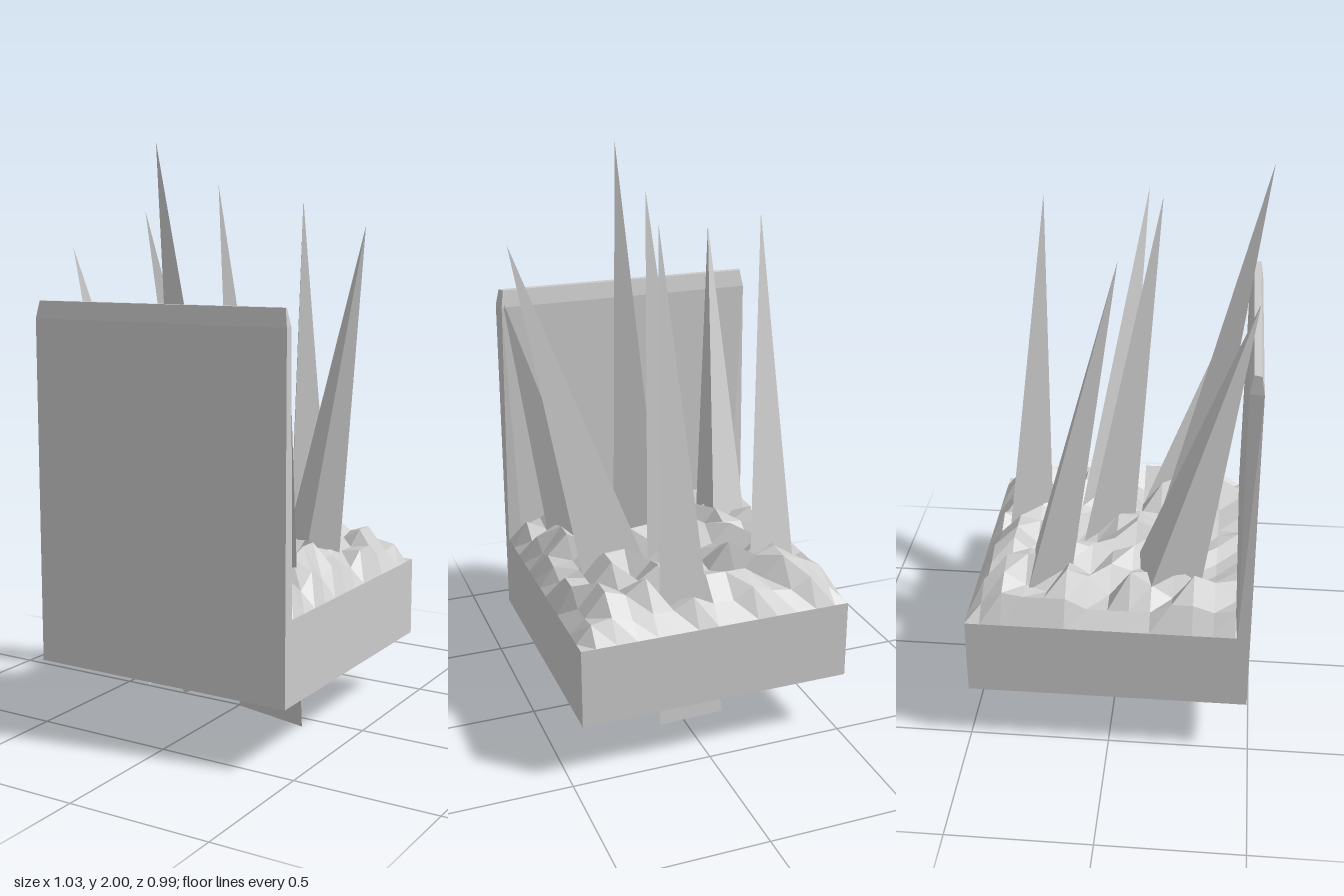
import * as THREE from 'three';
import { ConvexGeometry } from 'three/addons/geometries/ConvexGeometry.js';

const material = new THREE.MeshStandardMaterial({ color: 0xcccccc, flatShading: true });
const X0 = -0.52, X1 = 0.46, Z0 = -0.495, Z1 = 0.487, TOP = 0.505, BOTTOM = 0.22;

function add(group, name, geometry) {
  const mesh = new THREE.Mesh(geometry, material);
  mesh.name = name;
  group.add(mesh);
  return mesh;
}

function hull(points) {
  return new ConvexGeometry(points.map((p) => new THREE.Vector3(...p)));
}

// Small seeded generator for the rubble heights
function seeded(seed) {
  return () => {
    seed = (seed * 16807) % 2147483647;
    return seed / 2147483647;
  };
}

// Rough ground: a 12 x 12 grid of stepped heights with a sloping rim down to the slab
function groundGeometry() {
  const n = 14, rim = 0.052, random = seeded(41);
  const geometry = new THREE.PlaneGeometry(n, n, n, n).rotateX(-Math.PI / 2).rotateY(Math.PI / 2);
  const place = (i, lo, hi) =>
    i === 0 ? lo : i === n ? hi : lo + rim + ((i - 1) / (n - 2)) * (hi - lo - 2 * rim);
  const pos = geometry.attributes.position;
  for (let k = 0; k < pos.count; k++) {
    const i = Math.round(pos.getX(k) + n / 2), j = Math.round(pos.getZ(k) + n / 2);
    const inset = Math.min(i, j, n - i, n - j);
    const step = Math.floor(random() * 5) / 4;
    const y = inset === 0 ? TOP : inset === 1 ? TOP + 0.05 + 0.05 * step
      : TOP + 0.05 + 0.1 * step + 0.006 * inset;
    pos.setXYZ(k, place(i, X0, X1), y, place(j, Z0, Z1));
  }
  geometry.computeVertexNormals();
  return geometry;
}

// Each spike: its tip, then the three corners of its buried end
const spikes = [
  [[-0.385, 1.8, 0.025], [-0.41, 0.25, -0.37], [-0.18, 0.21, -0.4], [-0.3, 0.2, -0.2]],
  [[0, 1.88, 0.14], [-0.13, 0.22, -0.2], [0.11, 0.2, -0.17], [0, 0.15, 0.02]],
  [[0.515, 1.74, 0.06], [-0.03, 0.22, -0.23], [0.28, 0.22, -0.19], [0.185, 0.2, -0.02]],
  [[-0.01, 2, 0.495], [-0.09, 0.1, 0.24], [0.13, 0.2, 0.165], [-0.06, 0.2, 0.02]],
  [[0.105, 1.84, -0.27], [-0.06, 0.15, -0.46], [0.17, 0.14, -0.455], [0.05, 0.09, -0.26]],
  [[-0.37, 1.67, 0.465], [-0.41, 0.22, 0.02], [-0.2, 0.22, -0.07], [-0.23, 0.11, 0.25]],
  [[0.445, 1.46, 0.45], [0.3, 0, 0.075], [0.1, 0.07, 0.17], [0.09, 0.2, -0.09]],
];

export function createModel() {
  const model = new THREE.Group();
  model.name = 'spikeTrap';

  // Slab
  const slab = add(model, 'slab', new THREE.BoxGeometry(X1 - X0, TOP - BOTTOM, Z1 - Z0));
  slab.position.set((X0 + X1) / 2, (TOP + BOTTOM) / 2, (Z0 + Z1) / 2);

  add(model, 'roughGround', groundGeometry());

  // Front wall with a bevelled top and tapered inner corners
  const wall = [];
  for (const [edge, inward] of [[X0, 1], [X1, -1]]) {
    wall.push(
      [edge, TOP, Z1], [edge, 1.43, Z1],
      [edge + 0.01 * inward, 1.49, Z1 - 0.01],
      [edge + 0.02 * inward, 1.49, Z1 - 0.035],
      [edge, TOP, 0.443], [edge + 0.01 * inward, 1.43, 0.44],
      [edge + 0.05 * inward, TOP, 0.435],
    );
  }
  add(model, 'frontWall', hull(wall));

  // Spikes driven through the slab
  const group = new THREE.Group();
  group.name = 'spikes';
  spikes.forEach((points, i) => add(group, `spike${i + 1}`, hull(points)));
  model.add(group);
  return model;
}
